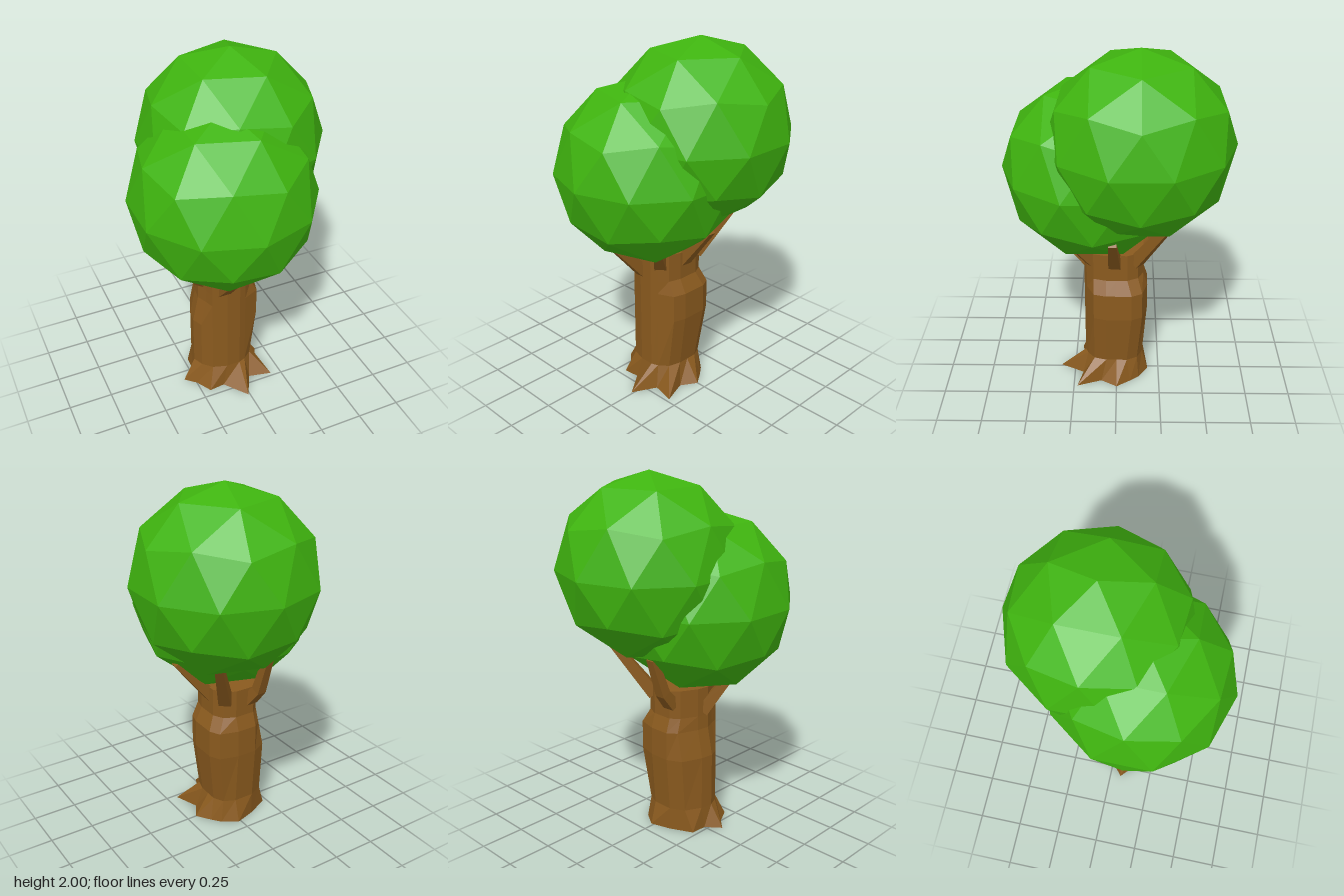
import * as THREE from 'three';

const bark = new THREE.MeshStandardMaterial({ color: 0x8a5a1e, flatShading: true });
const leaf = new THREE.MeshStandardMaterial({ color: 0x3fb40f, flatShading: true });

function named(name, geometry, material) {
  const mesh = new THREE.Mesh(geometry, material);
  mesh.name = name;
  return mesh;
}

// Skin a stack of equal-length rings (counter-clockwise about the growth direction), with capped ends
function loft(rings) {
  const n = rings[0].length, pos = [], idx = [];
  rings.forEach(r => r.forEach(p => pos.push(p.x, p.y, p.z)));
  for (let k = 0; k < rings.length - 1; k++) {
    for (let i = 0; i < n; i++) {
      const a = k * n + i, b = k * n + (i + 1) % n;
      idx.push(a, b, b + n, a, b + n, a + n);
    }
  }
  [0, rings.length - 1].forEach(k => {
    const c = pos.length / 3;
    const mid = rings[k].reduce((s, p) => s.add(p), new THREE.Vector3()).divideScalar(n);
    pos.push(mid.x, mid.y, mid.z);
    for (let i = 0; i < n; i++) {
      const a = k * n + i, b = k * n + (i + 1) % n;
      if (k) idx.push(c, a, b); else idx.push(c, b, a);
    }
  });
  const g = new THREE.BufferGeometry();
  g.setAttribute('position', new THREE.Float32BufferAttribute(pos, 3));
  g.setIndex(idx);
  const flat = g.toNonIndexed();
  flat.computeVertexNormals();
  return flat;
}

// Root flare outline on the ground and trunk outline above it, as [x, z]
const rootOutline = [
  [-0.01, 0.335], [0.06, 0.2], [0.19, 0.23], [0.14, 0.09], [0.195, 0],
  [0.14, -0.08], [0.1, -0.13], [0.015, -0.185], [-0.1, -0.15], [-0.225, -0.09],
  [-0.23, 0], [-0.31, 0.065], [-0.25, 0.12], [-0.2, 0.21], [-0.11, 0.2]];
const trunkOutline = [
  [0, 0.185], [0.04, 0.17], [0.09, 0.13], [0.11, 0.06], [0.11, 0],
  [0.11, -0.06], [0.08, -0.12], [0.015, -0.15], [-0.1, -0.15], [-0.18, -0.11],
  [-0.225, -0.02], [-0.235, 0.05], [-0.21, 0.11], [-0.16, 0.16], [-0.08, 0.185]];

// Trunk ring at height y, bulging right and back, with its left side drawn in
function trunkRing(y, right, back, left) {
  return trunkOutline.map(([x, z]) => new THREE.Vector3(
    x > 0.05 ? x + right : x < -0.17 ? x + left : x, y, z < -0.05 ? z - back : z));
}

// Four-sided branch along a path, tapering from w0 to w1
function branch(name, path, w0 = 0.035, w1 = 0.022) {
  const pts = path.map(p => new THREE.Vector3(...p));
  const dir = pts[pts.length - 1].clone().sub(pts[0]).normalize();
  const side = new THREE.Vector3(0, 1, 0).cross(dir).normalize();
  const out = dir.clone().cross(side);
  const rings = pts.map((p, k) => {
    const w = THREE.MathUtils.lerp(w0, w1, k / (pts.length - 1));
    return [[-1, -1], [1, -1], [1, 1], [-1, 1]].map(([s, t]) =>
      p.clone().addScaledVector(side, s * w).addScaledVector(out, t * w));
  });
  return named(name, loft(rings), bark);
}

// Low-poly leaf ball with a vertex at each pole
function crown(name, x, y, z) {
  const g = new THREE.IcosahedronGeometry(0.505, 1);
  g.rotateZ(-Math.atan(2 / (1 + Math.sqrt(5))));
  const mesh = named(name, g, leaf);
  mesh.position.set(x, y, z);
  return mesh;
}

export function createModel() {
  const tree = new THREE.Group();
  tree.name = 'tree';

  // Trunk with flared roots
  tree.add(named('trunk', loft([
    rootOutline.map(([x, z]) => new THREE.Vector3(x, 0, z)),
    trunkRing(0.13, 0, 0, 0),
    trunkRing(0.44, 0.04, 0.025, 0),
    trunkRing(0.6, 0.04, 0.025, 0.033),
    trunkRing(0.68, 0, 0, 0.035),
    trunkRing(0.84, 0, 0, 0.035),
  ]), bark));

  // Branches
  tree.add(
    branch('frontBranch', [[-0.09, 0.68, 0.14], [-0.1, 0.9, 0.35]]),
    branch('frontLeftBranch', [[0.03, 0.76, 0.13], [0.11, 0.9, 0.23]]),
    branch('leftBranch', [[0.07, 0.76, 0.01], [0.29, 1.02, 0.02]]),
    branch('backLeftBranch', [[0.06, 0.78, -0.11], [0.21, 1.08, -0.28]]),
    branch('backBranch', [[-0.09, 0.75, -0.12], [-0.1, 0.84, -0.2], [-0.1, 1.06, -0.28]]),
    branch('rightBranch', [[-0.17, 0.7, 0.04], [-0.3, 0.92, 0.13]]));

  // Leaf crowns
  tree.add(crown('upperCrown', 0.072, 1.495, -0.122), crown('lowerCrown', -0.075, 1.3, 0.122));
  return tree;
}
